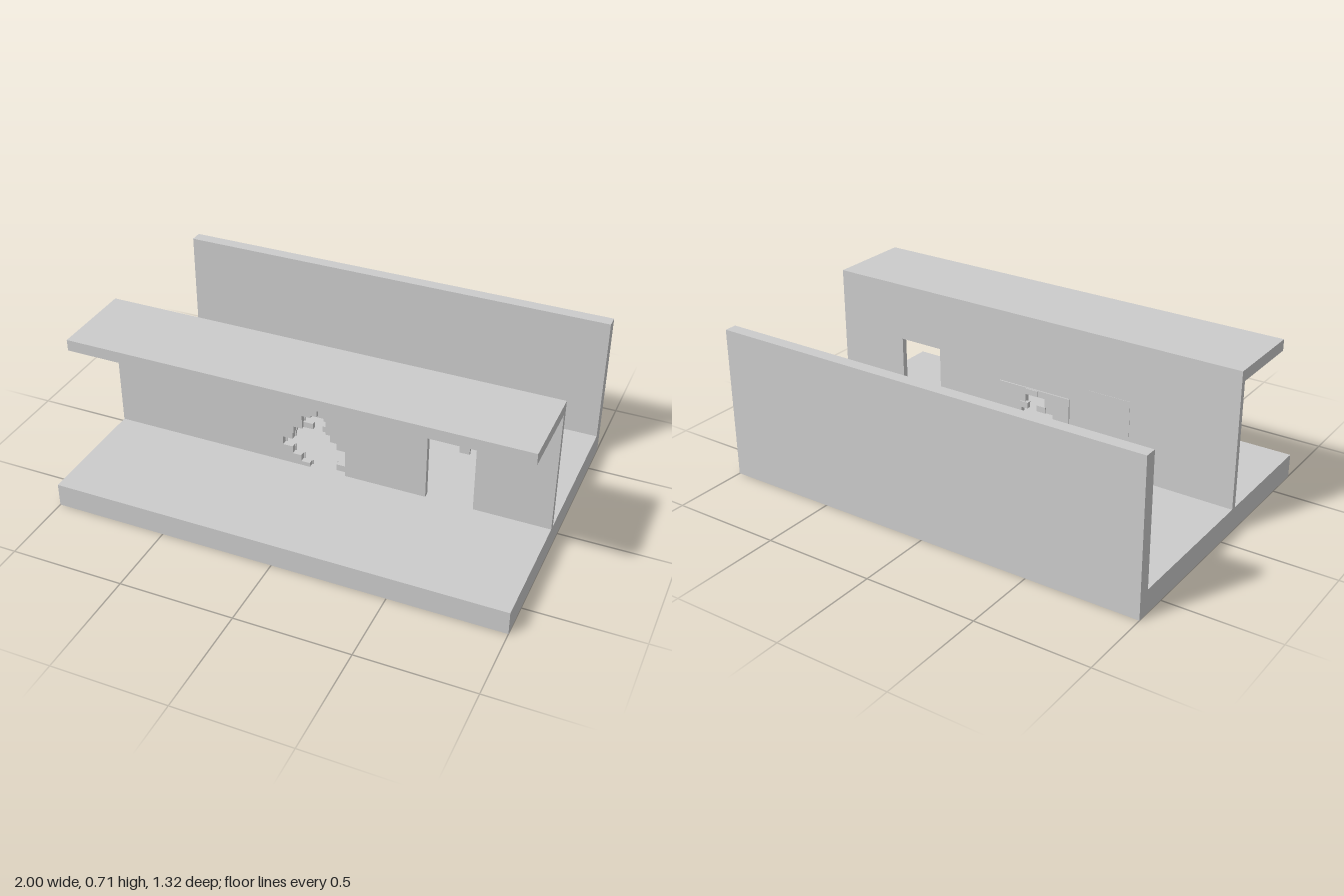
import * as THREE from 'three';

export function createModel() {
  const model = new THREE.Group();
  const grey = new THREE.MeshStandardMaterial({ color: 0xcccccc, flatShading: true });

  const add = (name, geometry, parent = model) => {
    const mesh = new THREE.Mesh(geometry, grey);
    mesh.name = name;
    parent.add(mesh);
    return mesh;
  };
  // Box given by its lower and upper limits
  const box = (name, x0, x1, y0, y1, z0, z1, parent) => {
    const g = new THREE.BoxGeometry(x1 - x0, y1 - y0, z1 - z0);
    g.translate((x0 + x1) / 2, (y0 + y1) / 2, (z0 + z1) / 2);
    return add(name, g, parent);
  };
  const points = (list) => list.map(([x, y]) => new THREE.Vector2(x, y));
  // Upright sheet extruded between two z values
  const sheet = (name, outline, z0, z1) => {
    const g = new THREE.ExtrudeGeometry(new THREE.Shape(points(outline)), { depth: z1 - z0, bevelEnabled: false });
    g.translate(0, 0, z0);
    return add(name, g);
  };
  // Flat layer with a hole, its outlines given as [x, z]
  const layer = (name, outline, hole, y0, y1) => {
    const shape = new THREE.Shape(points(outline.map(([x, z]) => [x, -z])));
    shape.holes.push(new THREE.Path(points(hole.map(([x, z]) => [x, -z]))));
    const g = new THREE.ExtrudeGeometry(shape, { depth: y1 - y0, bevelEnabled: false });
    g.rotateX(-Math.PI / 2);
    g.translate(0, y0, 0);
    return add(name, g);
  };

  const floor = 0.105, wallBack = 0.09, wallFront = 0.115;

  // Ground slab with a pit broken into it
  const rect = [[-1, -0.66], [1, -0.66], [1, 0.66], [-1, 0.66]];
  const pit = [[-0.32, 0.655], [-0.41, 0.49], [-0.405, 0.4], [-0.33, 0.36], [-0.28, 0.46], [-0.262, 0.56]];
  const shrink = (s) => pit.map(([x, z]) => [-0.335 + (x + 0.335) * s, 0.5 + (z - 0.5) * s]);
  box('groundBase', -1, 1, 0, 0.03, -0.66, 0.66);
  [1, 0.93, 0.97, 0.88].forEach((s, i) => {
    const top = floor - i * 0.01875;
    layer('groundLayer', rect, shrink(s), top - 0.01875, top);
  });

  // Rear wall and overhanging roof
  box('rearWall', -1, 1, 0, 0.68, -0.66, -0.605);
  box('roof', -1, 1, 0.665, 0.715, wallBack, 0.47);

  // Stepped breach, each row as [left x, right x, top y] from the floor up
  const rows = [
    [-0.075, 0.09, 0.125], [-0.115, 0.05, 0.155], [-0.155, 0.09, 0.19],
    [-0.2, 0.09, 0.23], [-0.155, 0.05, 0.262], [-0.15, 0.02, 0.295],
    [-0.11, 0.0, 0.33], [-0.11, 0.0, 0.36], [-0.07, -0.01, 0.375],
  ];
  const breach = (inset) => {
    const left = [], right = [];
    let y = floor;
    for (const [l, r, top] of rows) {
      left.push([l + inset, y], [l + inset, top]);
      right.push([r - inset, y], [r - inset, top]);
      y = top;
    }
    return [...left, ...right.reverse()];
  };

  // Street wall with breach and doorway
  sheet('streetWall', [
    [-1, floor], ...breach(0),
    [0.455, floor], [0.455, 0.455], [0.665, 0.455], [0.665, floor],
    [1, floor], [1, 0.665], [-1, 0.665],
  ], wallBack, wallFront);

  // Thin backing panel around the breach
  sheet('breachPanel', [
    [-0.225, floor], ...breach(0.006), [0.13, floor], [0.13, 0.39], [-0.225, 0.39],
  ], 0.084, wallBack);

  // Loose bricks at the rim of the breach
  [[-0.07, -0.01, 0.362, 0.388], [-0.11, -0.065, 0.295, 0.322], [-0.02, 0.02, 0.295, 0.322]]
    .forEach(([x0, x1, y0, y1]) => box('looseBrick', x0, x1, y0, y1, 0.079, 0.1));

  // Blind door on the back of the wall
  box('blindDoor', -0.515, -0.32, floor, 0.455, 0.0885, wallBack);

  // Ceiling lamps under the roof
  for (const x of [0.097, 0.72]) {
    const lamp = new THREE.Group();
    lamp.name = 'ceilingLamp';
    model.add(lamp);
    box('lampBase', x - 0.02, x + 0.02, 0.652, 0.665, 0.165, 0.46, lamp);
    for (const z of [0.165, 0.448]) box('lampCap', x - 0.02, x + 0.02, 0.63, 0.655, z, z + 0.012, lamp);
    const tube = new THREE.CylinderGeometry(0.009, 0.009, 0.272, 8);
    tube.rotateX(Math.PI / 2);
    tube.translate(x, 0.642, 0.3125);
    add('lampTube', tube, lamp);
  }

  return model;
}
